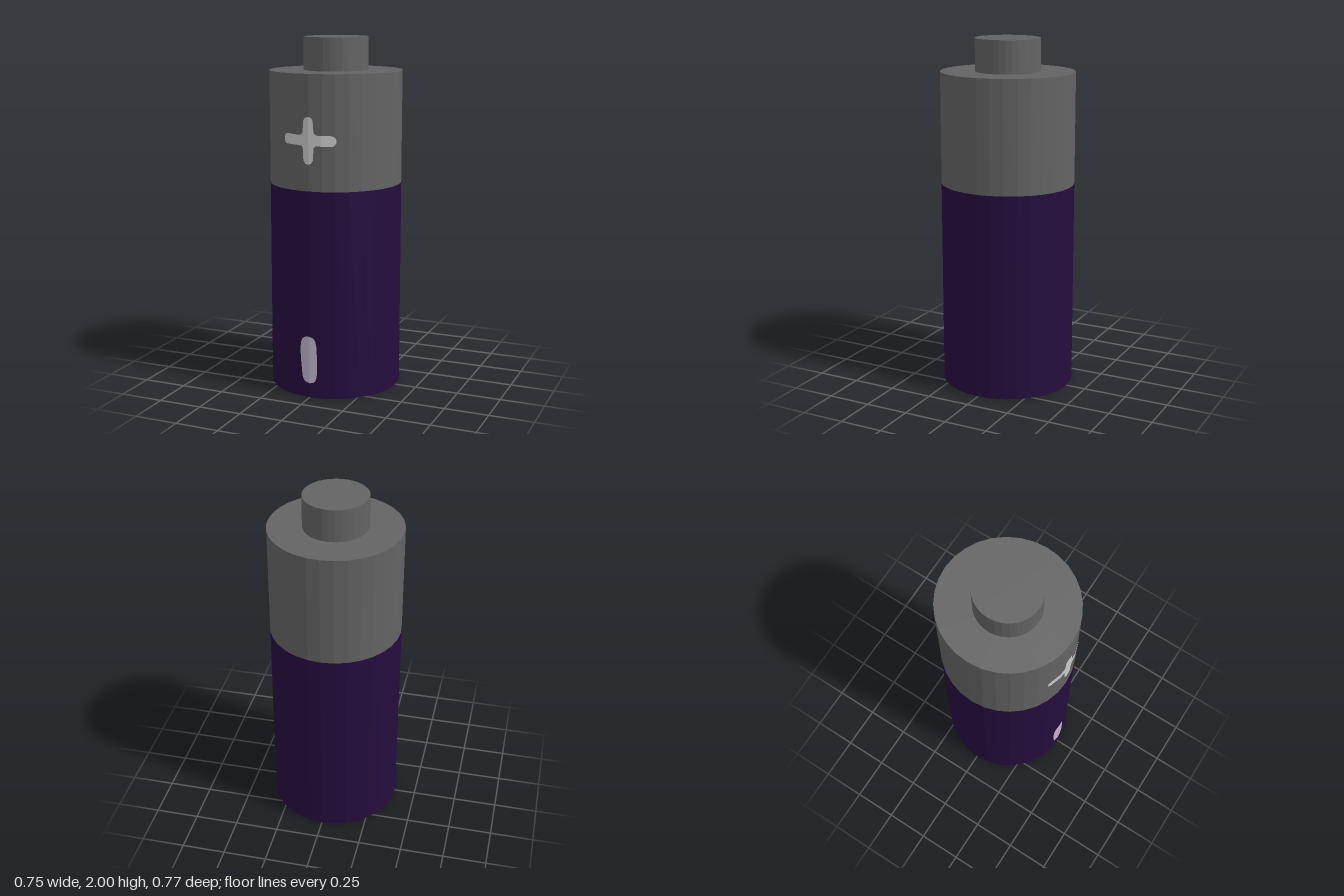
import * as THREE from 'three';

const R = 0.374, STRETCH = 1.022, SIDES = 32;
const material = (name, color) => {
  const m = new THREE.MeshStandardMaterial({ color });
  m.name = name;
  return m;
};

// Faceted solid of revolution, profile listed from bottom to top
function turned(name, profile, mat) {
  const lathe = new THREE.LatheGeometry(profile.map(([r, y]) => new THREE.Vector2(r, y)), SIDES);
  lathe.scale(1, 1, STRETCH);
  const geo = lathe.toNonIndexed();
  geo.computeVertexNormals();
  const mesh = new THREE.Mesh(geo, mat);
  mesh.name = name;
  return mesh;
}

// Depth of the faceted front wall at a given x
function wallZ(x) {
  const step = (2 * Math.PI) / SIDES;
  const i = Math.floor(Math.asin(x / R) / step + 1e-6);
  const x0 = R * Math.sin(i * step), x1 = R * Math.sin((i + 1) * step);
  const z0 = R * Math.cos(i * step), z1 = R * Math.cos((i + 1) * step);
  return STRETCH * (z0 + ((x - x0) / (x1 - x0)) * (z1 - z0));
}

// Thin painted mark hugging the wall, from columns of [x, bottom, top]
function mark(name, columns, mat) {
  const pos = [];
  for (let i = 0; i < columns.length - 1; i++) {
    const [xa, ba, ta] = columns[i], [xb, bb, tb] = columns[i + 1];
    const za = wallZ(xa) + 0.003, zb = wallZ(xb) + 0.003;
    pos.push(xa, ba, za, xb, bb, zb, xb, tb, zb, xa, ba, za, xb, tb, zb, xa, ta, za);
  }
  const geo = new THREE.BufferGeometry();
  geo.setAttribute('position', new THREE.Float32BufferAttribute(pos, 3));
  geo.computeVertexNormals();
  const mesh = new THREE.Mesh(geo, mat);
  mesh.name = name;
  return mesh;
}

export function createModel() {
  const grey = material('grey metal', 0x636363);
  const purple = material('dark purple', 0x240d3d);
  const white = material('pale grey paint', 0xcacaca);
  const lilac = material('pale lilac paint', 0xc0b4cc);
  const group = new THREE.Group();
  group.name = 'battery';

  // Casing: purple lower part, grey upper part with raised terminal
  group.add(turned('lowerCasing', [[0, 0], [R, 0], [R, 1.18]], purple));
  group.add(turned('upperCasingAndTerminal',
    [[R, 1.18], [R, 1.815], [0.182, 1.815], [0.182, 2], [0, 2]], grey));

  // Hand-painted plus and minus marks on the front
  group.add(mark('plusMark', [
    [-0.155, 1.45, 1.472], [-0.148, 1.438, 1.486], [-0.135, 1.433, 1.491], [-0.073, 1.432, 1.488],
    [-0.045, 1.43, 1.49], [-0.035, 1.422, 1.497], [-0.031, 1.35, 1.565], [-0.02, 1.332, 1.582],
    [0, 1.327, 1.587], [0.016, 1.334, 1.582], [0.025, 1.35, 1.565], [0.03, 1.418, 1.5],
    [0.042, 1.43, 1.488], [0.073, 1.428, 1.486], [0.13, 1.427, 1.486], [0.143, 1.436, 1.478],
    [0.15, 1.448, 1.466],
  ], white));
  group.add(mark('minusMark', [
    [-0.056, 0.26, 0.29], [-0.052, 0.2, 0.325], [-0.044, 0.12, 0.342], [-0.03, 0.093, 0.353],
    [-0.005, 0.085, 0.357], [0, 0.084, 0.356], [0.02, 0.087, 0.351], [0.034, 0.098, 0.335],
    [0.041, 0.12, 0.3], [0.046, 0.155, 0.21],
  ], lilac));
  return group;
}
